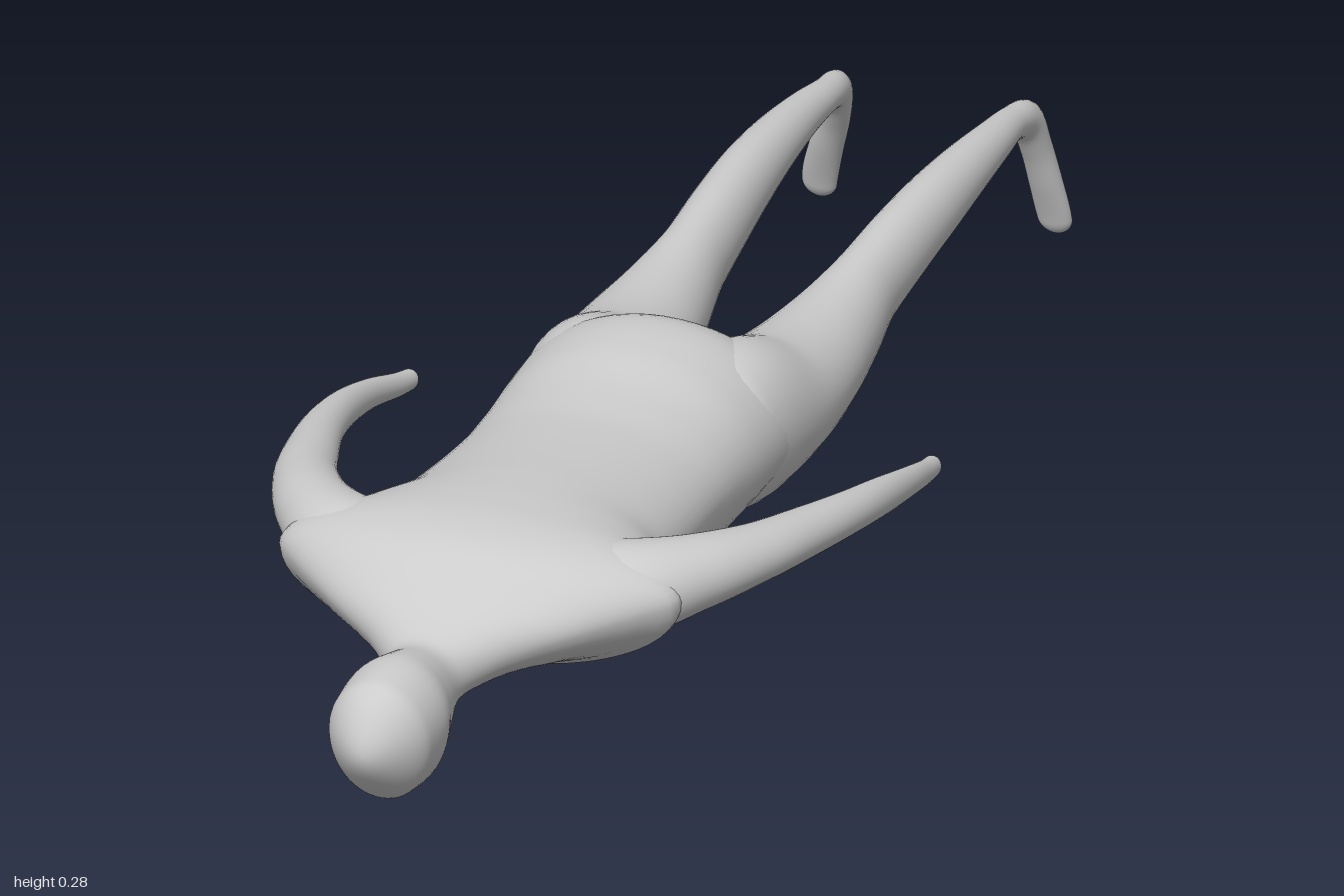
import * as THREE from 'three';

const material = new THREE.MeshStandardMaterial({ color: 0xcccccc });
const X = new THREE.Vector3(1, 0, 0);
const Y = new THREE.Vector3(0, 1, 0);

// Smooth loft through rows of [x, y, z, side radius, upper radius, lower radius],
// with rounded ends; ref is the direction of the side radius.
function loft(name, rows, ref, startCap, endCap, steps = 90, sides = 36) {
  const path = new THREE.CatmullRomCurve3(rows.map(r => new THREE.Vector3(r[0], r[1], r[2])));
  const radii = new THREE.CatmullRomCurve3(rows.map(r => new THREE.Vector3(r[3], r[4], r[5])));
  const first = path.getPoint(0), last = path.getPoint(1);
  const cap = (d, c) => (d >= c ? 1 : Math.sqrt(1 - (1 - d / c) ** 2));
  const positions = [], index = [];
  for (let i = 0; i <= steps; i++) {
    const t = (1 - Math.cos(Math.PI * i / steps)) / 2;
    const p = path.getPoint(t), r = radii.getPoint(t), tangent = path.getTangent(t);
    const side = ref.clone().addScaledVector(tangent, -ref.dot(tangent)).normalize();
    const up = tangent.clone().cross(side);
    const s = cap(p.distanceTo(first), startCap) * cap(p.distanceTo(last), endCap);
    for (let j = 0; j < sides; j++) {
      const a = j / sides * Math.PI * 2, sin = Math.sin(a);
      const v = p.clone()
        .addScaledVector(side, Math.cos(a) * r.x * s)
        .addScaledVector(up, sin * (sin > 0 ? r.y : r.z) * s);
      positions.push(v.x, v.y, v.z);
      if (i < steps) {
        const k = (j + 1) % sides, n = i * sides;
        index.push(n + j, n + k, n + sides + k, n + j, n + sides + k, n + sides + j);
      }
    }
  }
  const geometry = new THREE.BufferGeometry();
  geometry.setAttribute('position', new THREE.Float32BufferAttribute(positions, 3));
  geometry.setIndex(index);
  geometry.computeVertexNormals();
  const mesh = new THREE.Mesh(geometry, material);
  mesh.name = name;
  return mesh;
}

// Pelvis to crown: z, half width, top y, y of widest point, bottom y
const torso = [
  [-0.13, 0.13, 0.205, 0.14, 0.07],
  [-0.06, 0.172, 0.245, 0.14, 0.052],
  [0.02, 0.18, 0.28, 0.145, 0.042],
  [0.1, 0.177, 0.275, 0.145, 0.03],
  [0.18, 0.173, 0.258, 0.148, 0.014],
  [0.26, 0.173, 0.25, 0.15, 0.001],
  [0.36, 0.177, 0.253, 0.155, 0.01],
  [0.46, 0.185, 0.26, 0.165, 0.035],
  [0.54, 0.225, 0.264, 0.178, 0.055],
  [0.6, 0.262, 0.262, 0.185, 0.07],
  [0.65, 0.222, 0.25, 0.178, 0.08],
  [0.7, 0.158, 0.217, 0.162, 0.086],
  [0.75, 0.085, 0.188, 0.14, 0.085],
  [0.79, 0.052, 0.175, 0.125, 0.075],
  [0.84, 0.057, 0.183, 0.115, 0.035],
  [0.89, 0.069, 0.189, 0.112, 0.016],
  [0.94, 0.066, 0.183, 0.108, 0.02],
  [1.0, 0.045, 0.15, 0.1, 0.05],
];

// Shoulder to hand: x, y, z, vertical radius, horizontal radius
const arm = [
  [0.1, 0.18, 0.6, 0.06, 0.06],
  [0.18, 0.185, 0.58, 0.06, 0.065],
  [0.245, 0.193, 0.525, 0.047, 0.052],
  [0.295, 0.193, 0.44, 0.036, 0.041],
  [0.323, 0.187, 0.35, 0.031, 0.034],
  [0.343, 0.178, 0.26, 0.027, 0.027],
  [0.353, 0.165, 0.17, 0.024, 0.021],
  [0.354, 0.147, 0.08, 0.019, 0.016],
  [0.347, 0.127, 0.0, 0.015, 0.013],
  [0.343, 0.12, -0.04, 0.013, 0.012],
];

// Hip to heel: x, y, z, horizontal radius, vertical radius
const leg = [
  [0.085, 0.15, 0.1, 0.075, 0.09],
  [0.095, 0.15, 0.0, 0.085, 0.105],
  [0.102, 0.141, -0.1, 0.085, 0.086],
  [0.108, 0.145, -0.2, 0.076, 0.07],
  [0.111, 0.153, -0.3, 0.06, 0.063],
  [0.113, 0.168, -0.4, 0.044, 0.057],
  [0.117, 0.183, -0.5, 0.041, 0.052],
  [0.121, 0.194, -0.6, 0.038, 0.045],
  [0.123, 0.199, -0.7, 0.033, 0.036],
  [0.123, 0.198, -0.8, 0.026, 0.027],
  [0.121, 0.193, -0.87, 0.021, 0.022],
];

// Ankle to toes, with x as a share of the way to the toe's x
const foot = [
  [0.1, 0.178, -0.918, 0.02, 0.025],
  [0.3, 0.135, -0.943, 0.02, 0.021],
  [0.65, 0.08, -0.962, 0.022, 0.016],
  [0.9, 0.035, -0.977, 0.023, 0.012],
  [1, 0.003, -0.988, 0.021, 0.011],
];

export function createModel() {
  const group = new THREE.Group();
  group.name = 'lyingFigure';

  group.add(loft('torsoAndHead',
    torso.map(([z, w, top, y, bottom]) => [-0.003, y, z, w, top - y, y - bottom]),
    X, 0.05, 0.06, 130, 56));

  for (const [label, sign, toeX] of [['left', 1, 0.137], ['right', -1, 0.175]]) {
    // The right hand reaches slightly further back
    const reach = sign > 0 ? 0 : -0.012;
    group.add(loft(label + 'Arm',
      arm.map(([x, y, z, v, h], i) => [sign * x, y, z + reach * i / 9, v, h, h]), Y, 0.04, 0.015));

    const feet = foot.map(([k, ...rest]) => [0.121 + k * (toeX - 0.121), ...rest]);
    group.add(loft(label + 'Leg',
      [...leg, ...feet].map(([x, y, z, h, v]) => [sign * x, y, z, h, v, v]), X, 0.06, 0.022, 110));
  }
  return group;
}
